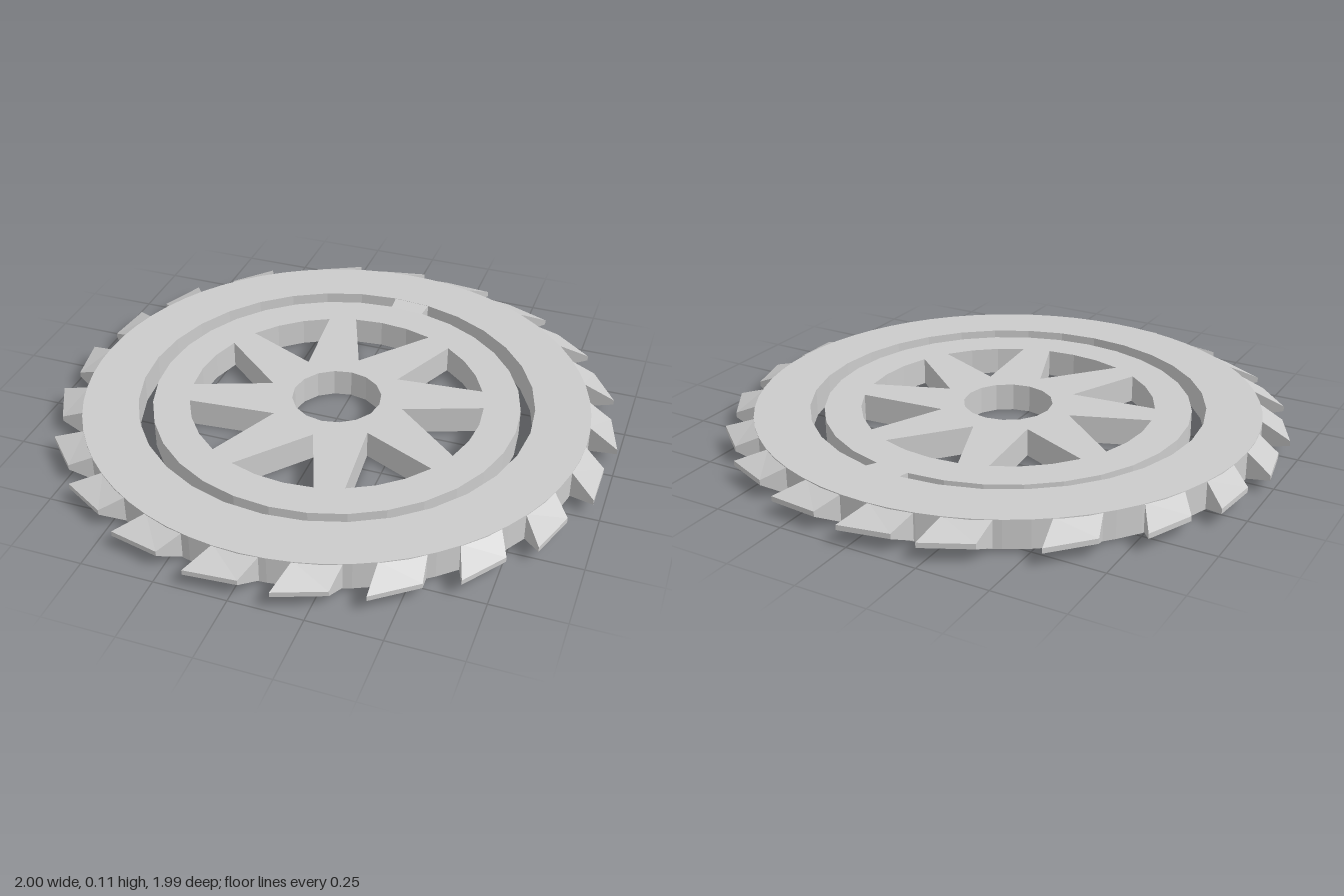
import * as THREE from 'three';

const material = new THREE.MeshStandardMaterial({ color: 0xcccccc, flatShading: true });
const rad = THREE.MathUtils.degToRad;

// Angles are in degrees, counter-clockwise seen from above, from +x.
const polar = (r, deg) => new THREE.Vector2(r * Math.cos(rad(deg)), r * Math.sin(rad(deg)));
const circle = (r, n) => Array.from({ length: n }, (_, i) => polar(r, (i * 360) / n));

function addMesh(group, name, geometry) {
  const mesh = new THREE.Mesh(geometry, material);
  mesh.name = name;
  group.add(mesh);
}

// Flat plate lying in the xz plane between two heights
function plate(outline, holes, y0, y1) {
  const shape = new THREE.Shape(outline);
  for (const h of holes) shape.holes.push(new THREE.Path(h));
  const g = new THREE.ExtrudeGeometry(shape, { depth: y1 - y0, bevelEnabled: false });
  return g.rotateX(-Math.PI / 2).translate(0, y0, 0);
}

// Solid joining two matching four-point cross-sections
function loft(a, b) {
  const pos = [];
  const quad = (p, q, r, s) => [p, q, r, p, r, s].forEach((v) => pos.push(v.x, v.y, v.z));
  for (let i = 0; i < 4; i++) {
    const j = (i + 1) % 4;
    quad(a[i], a[j], b[j], b[i]);
  }
  quad(a[3], a[2], a[1], a[0]);
  quad(b[0], b[1], b[2], b[3]);
  const g = new THREE.BufferGeometry();
  g.setAttribute('position', new THREE.Float32BufferAttribute(pos, 3));
  g.computeVertexNormals();
  return g;
}

const at = (r, y, deg) => {
  const p = polar(r, deg);
  return new THREE.Vector3(p.x, y, -p.y);
};

// Cross-section of a tooth: wide at the ring, narrow at the swept-back rim
const toothSection = (baseDeg, tipDeg, tipR) => [
  at(0.895, 0.11, baseDeg),
  at(tipR, 0.068, tipDeg),
  at(tipR, 0.05, tipDeg),
  at(0.895, 0.01, baseDeg),
];

export function createModel() {
  const model = new THREE.Group();
  model.name = 'sawToothWheel';

  // Outer ring
  addMesh(model, 'outerRing', plate(circle(0.9, 64), [circle(0.705, 32)], 0.01, 0.11));

  // Inner wheel: axle hole and eight skewed openings leaving the spokes
  const holes = [circle(0.16, 16)];
  for (let i = 0; i < 8; i++) {
    const a = i * 45;
    holes.push([
      polar(0.245, a),
      ...[-22.5, -11.25, 0, 11.25].map((d) => polar(0.525, a + d)),
    ]);
  }
  addMesh(model, 'spokedWheel', plate(circle(0.655, 32), holes, 0, 0.1));

  // Sloping bridge between the wheel and the ring
  const bridgeSection = (deg) => [
    at(0.65, 0.1, deg), at(0.71, 0.11, deg), at(0.71, 0.01, deg), at(0.65, 0, deg),
  ];
  addMesh(model, 'bridge', loft(bridgeSection(78.75), bridgeSection(90)));

  // Slightly uneven cutting teeth, all leaning clockwise
  const teeth = new THREE.Group();
  teeth.name = 'teeth';
  const tips = [88, 71.3, 54, 37.4, 20.5, 3.4, -13.7, -31.5, -48.3, -65.4, -82.2,
    -98.8, -116, -133, -149, -166, -182.5, -199.5, -216, -235, -256.5];
  for (const t of tips) {
    addMesh(teeth, 'tooth', loft(toothSection(t + 3, t, 1), toothSection(t + 13, t + 10.3, 0.975)));
  }
  model.add(teeth);
  return model;
}
